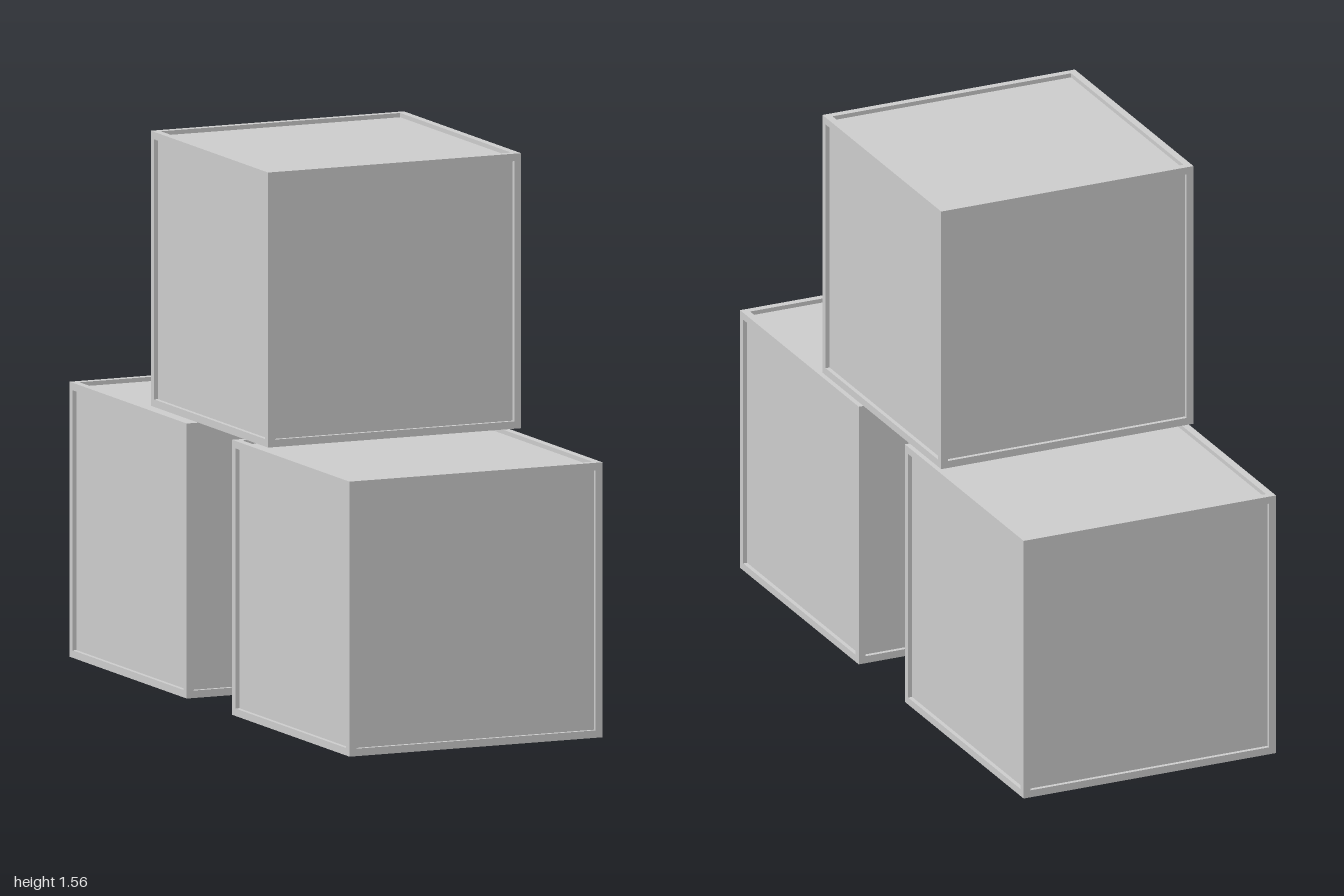
import * as THREE from 'three';

const SIZE = 0.773;    // outer edge of a crate
const RIM = 0.021;     // width of the raised edge frame
const RECESS = 0.012;  // how far the panels sit below the frame
const TURN = 0.371;    // rotation of the whole stack about y
const SPREAD = 0.5365; // lower crates' distance from the centre
const LIFT = 0.787;    // underside of the upper crate

const material = new THREE.MeshStandardMaterial({ color: 0xcccccc, flatShading: true });

function addBox(parent, name, size, position) {
  const mesh = new THREE.Mesh(new THREE.BoxGeometry(...size), material);
  mesh.name = name;
  mesh.position.set(...position);
  parent.add(mesh);
}

// A cube with recessed panels, framed by twelve square edge beams
function createCrate(name, y, z) {
  const crate = new THREE.Group();
  crate.name = name;
  crate.position.set(0, y + SIZE / 2, z);

  const core = SIZE - 2 * RECESS;
  addBox(crate, 'panels', [core, core, core], [0, 0, 0]);

  const edge = (SIZE - RIM) / 2;
  const between = SIZE - 2 * RIM;
  for (const a of [-edge, edge]) {
    for (const b of [-edge, edge]) {
      addBox(crate, 'cornerPost', [RIM, SIZE, RIM], [a, 0, b]);
      addBox(crate, 'crossRail', [between, RIM, RIM], [0, a, b]);
      addBox(crate, 'sideRail', [RIM, RIM, between], [a, b, 0]);
    }
  }
  return crate;
}

export function createModel() {
  const model = new THREE.Group();
  model.name = 'crateStack';

  // Two crates below, one bridging them on top
  const stack = new THREE.Group();
  stack.name = 'crates';
  stack.rotation.y = TURN;
  stack.add(
    createCrate('frontCrate', 0, SPREAD),
    createCrate('backCrate', 0, -SPREAD),
    createCrate('topCrate', LIFT, 0)
  );
  model.add(stack);
  return model;
}
